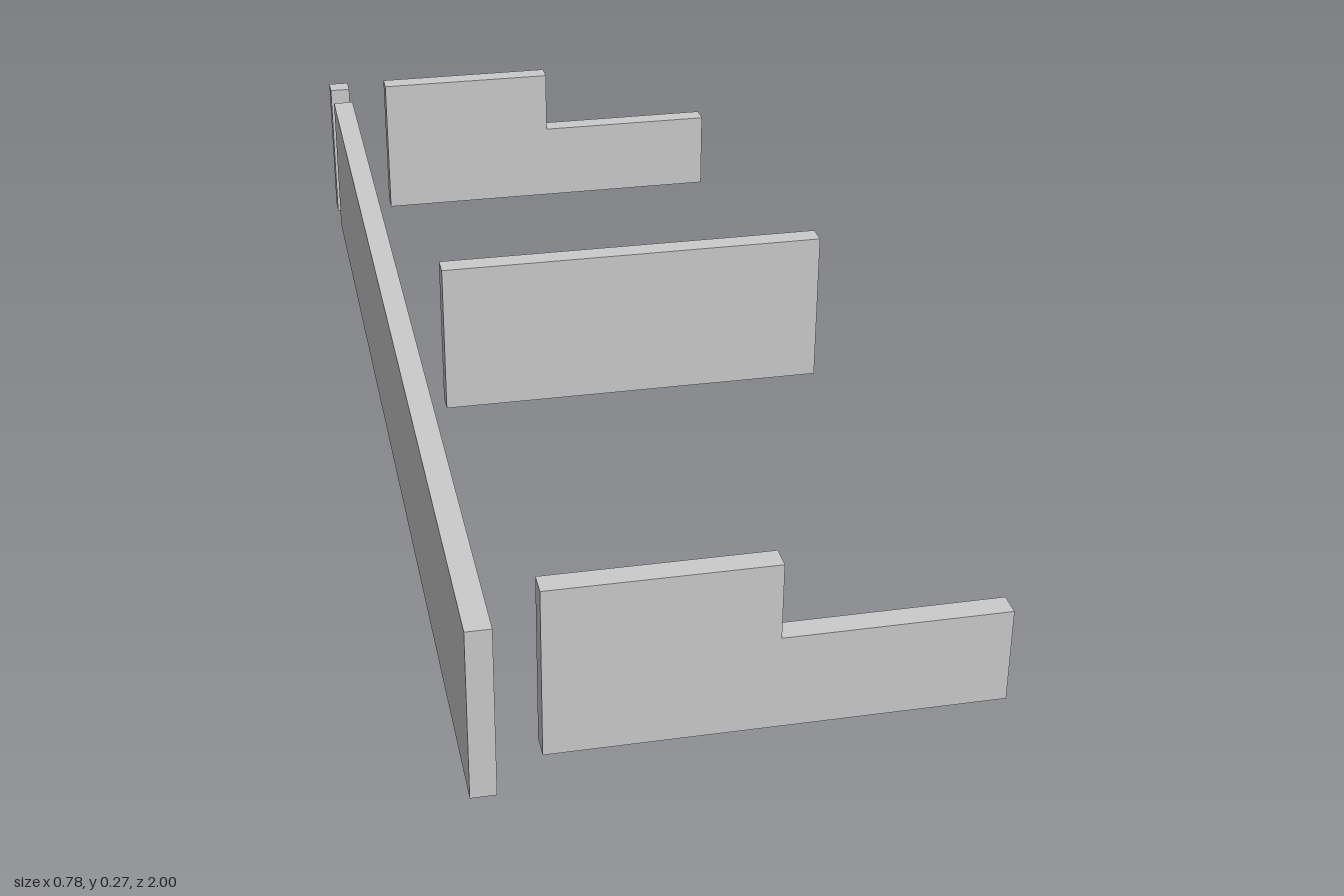
import * as THREE from 'three';

const HEIGHT = 0.267, LOW = 0.148, T = 0.037;
const X0 = -0.278, STEP = 0.055, X1 = 0.389; // panel start, notch and end
const WALL_X = -0.3705;

export function createModel() {
  const group = new THREE.Group();
  group.name = 'partitionWalls';
  const material = new THREE.MeshStandardMaterial({ color: 0xcccccc, flatShading: true });

  const add = (name, geometry, x, y, z) => {
    const mesh = new THREE.Mesh(geometry, material);
    mesh.name = name;
    mesh.position.set(x, y, z);
    group.add(mesh);
  };

  // Long side wall and the separate post behind it
  add('longWall', new THREE.BoxGeometry(T, HEIGHT, 1.89), WALL_X, HEIGHT / 2, 0.055);
  add('cornerPost', new THREE.BoxGeometry(T, HEIGHT, T), WALL_X, HEIGHT / 2, -1 + T / 2);

  // Full-height middle panel
  add('middlePanel', new THREE.BoxGeometry(X1 - X0, HEIGHT, T), (X0 + X1) / 2, HEIGHT / 2, -0.0905);

  // Stepped end panels, lower on the outer half
  const outline = new THREE.Shape([
    [X0, 0], [X1, 0], [X1, LOW], [STEP, LOW], [STEP, HEIGHT], [X0, HEIGHT],
  ].map(([x, y]) => new THREE.Vector2(x, y)));
  const stepped = new THREE.ExtrudeGeometry(outline, { depth: T, bevelEnabled: false });
  add('frontSteppedPanel', stepped, 0, 0, 0.89);
  add('backSteppedPanel', stepped, 0, 0, -1);

  return group;
}
